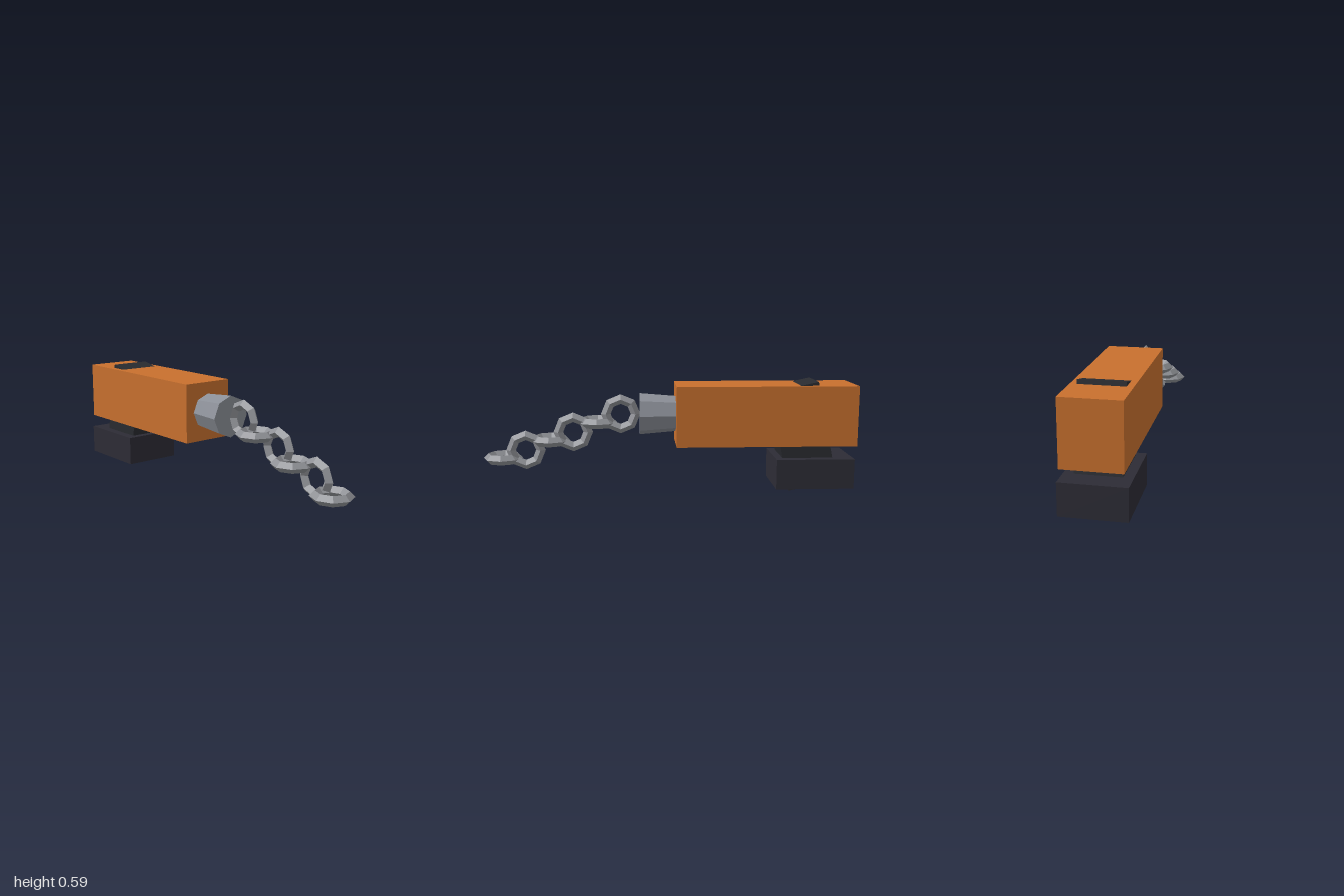
import * as THREE from 'three';

const material = (name, color) => {
  const m = new THREE.MeshStandardMaterial({ color, flatShading: true });
  m.name = name;
  return m;
};

export function createModel() {
  const orange = material('orange casing', 0xc8702e);
  const black = material('grip black', 0x292b30);
  const charcoal = material('battery charcoal', 0x2d2c35);
  const steel = material('nozzle steel', 0x8b8f97);
  const chainGrey = material('chain grey', 0x909297);

  const model = new THREE.Group();
  model.name = 'chainTool';
  const add = (parent, name, geometry, mat, x, y, z = 0) => {
    const mesh = new THREE.Mesh(geometry, mat);
    mesh.name = name;
    mesh.position.set(x, y, z);
    parent.add(mesh);
    return mesh;
  };

  // Main casing and battery block
  add(model, 'casing', new THREE.BoxGeometry(0.96, 0.32, 0.288), orange, -0.52, 0.407);
  add(model, 'battery', new THREE.BoxGeometry(0.416, 0.16, 0.32), charcoal, -0.777, 0.1);

  // Slanted grip passing through the casing and the battery
  const grip = add(model, 'grip', new THREE.BoxGeometry(0.264, 0.544, 0.224), black, -0.718, 0.2935);
  grip.rotation.z = -0.21;

  // Flared eight-sided nozzle
  const nozzle = add(model, 'nozzle', new THREE.CylinderGeometry(0.112, 0.096, 0.192, 8), steel, 0.056, 0.407);
  nozzle.rotation.z = -Math.PI / 2;

  // Drooping chain: upright and flat links alternate, the flat ones offset to the front
  const chain = new THREE.Group();
  chain.name = 'chain';
  model.add(chain);
  const linkGeometry = new THREE.TorusGeometry(0.08, 0.0262, 4, 8);
  for (let i = 0; i < 6; i++) {
    const flat = i % 2 === 1;
    const link = add(chain, `link${i + 1}`, linkGeometry, chainGrey,
      0.254 + i * 0.128, 0.407 - i * 0.0484, flat ? 0.032 : 0);
    if (flat) link.rotation.x = Math.PI / 2;
  }
  return model;
}
